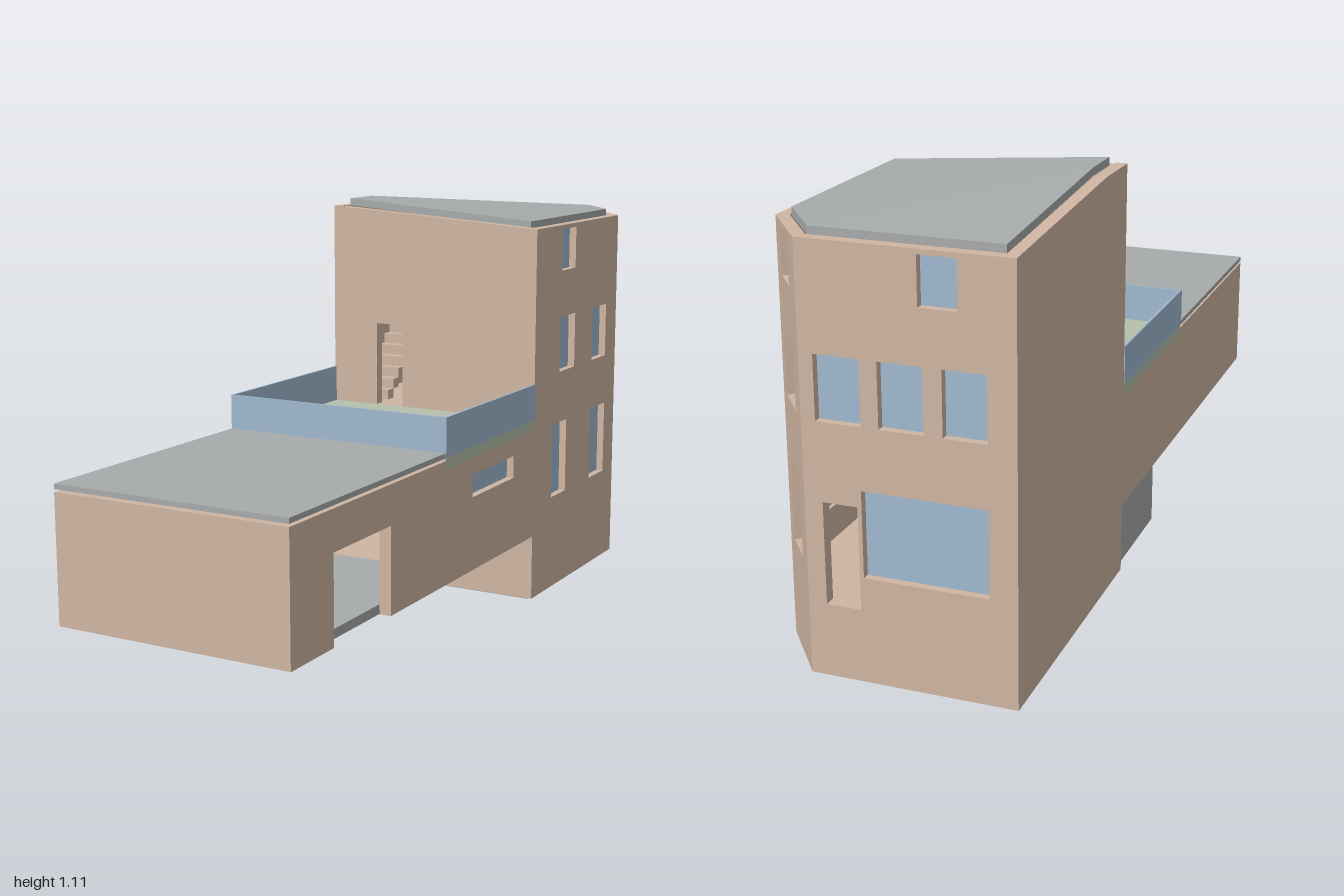
import * as THREE from 'three';

const mat = (name, color, side = THREE.FrontSide) => {
  const m = new THREE.MeshStandardMaterial({ color, side });
  m.name = name;
  return m;
};

export function createModel() {
  const root = new THREE.Group();
  root.name = 'house';
  const brick = mat('warm plaster', 0xcfb5a2);
  const grey = mat('grey concrete', 0xa7aaab);
  const green = mat('pale green deck', 0xb6c0aa);
  const glass = mat('blue glass', 0x9fb8cd, THREE.DoubleSide);
  const T = 0.03; // wall thickness
  const W = 0.317; // half width

  const add = (name, geo, material, parent = root) => {
    const m = new THREE.Mesh(geo, material);
    m.name = name;
    parent.add(m);
    return m;
  };
  // box given by its two extreme corners
  const box = (name, material, x0, x1, y0, y1, z0, z1) => {
    const m = add(name, new THREE.BoxGeometry(x1 - x0, y1 - y0, z1 - z0), material);
    m.position.set((x0 + x1) / 2, (y0 + y1) / 2, (z0 + z1) / 2);
    return m;
  };
  const shapeOf = pts => new THREE.Shape(pts.map(p => new THREE.Vector2(p[0], p[1])));
  const rect = (u0, u1, y0, y1) => [[u0, y0], [u1, y0], [u1, y1], [u0, y1]];

  // Wall from plan point a to b, outer face on the line; openings are [u0, u1, y0, y1, open?]
  const wall = (name, a, b, outline, openings = []) => {
    const g = new THREE.Group();
    g.name = name;
    g.position.set(a[0], 0, a[1]);
    g.rotation.y = Math.atan2(-(b[1] - a[1]), b[0] - a[0]);
    const s = shapeOf(outline);
    for (const [u0, u1, y0, y1, open] of openings) {
      s.holes.push(new THREE.Path(rect(u0, u1, y0, y1).map(p => new THREE.Vector2(p[0], p[1]))));
      if (open) continue;
      const pane = add('windowPane', new THREE.PlaneGeometry(u1 - u0, y1 - y0), glass, g);
      pane.position.set((u0 + u1) / 2, (y0 + y1) / 2, -0.02);
    }
    const geo = new THREE.ExtrudeGeometry(s, { depth: T, bevelEnabled: false });
    add(name + 'Panel', geo.translate(0, 0, -T), brick, g);
    root.add(g);
  };

  // Flat plate from a plan outline of [x, z] points
  const plate = (name, material, pts, y0, y1) => {
    const geo = new THREE.ExtrudeGeometry(shapeOf(pts.map(([x, z]) => [x, -z])), { depth: y1 - y0, bevelEnabled: false });
    geo.rotateX(-Math.PI / 2).translate(0, y0, 0);
    return add(name, geo, material);
  };

  // ---- Tower: four walls and a cut corner ----
  const Y0 = 0.01, LOW = 1.042, HIGH = 1.085;
  const cut = Math.hypot(W - 0.19, 0.16);
  const rows = [[0.275, 0.485], [0.63, 0.785], [0.915, 1.03]];
  wall('towerRightWall', [W, -0.25], [W, -0.84], rect(0, 0.59, Y0, LOW), [
    [0.125, 0.225, ...rows[0]], [0.405, 0.515, ...rows[0]],
    [0.17, 0.275, ...rows[1]], [0.405, 0.51, ...rows[1]],
    [0.175, 0.27, ...rows[2]]
  ]);
  wall('towerCornerWall', [W, -0.84], [0.19, -1], rect(0, cut, Y0, LOW), [
    [0.05, 0.147, ...rows[0]], [0.04, 0.147, ...rows[1]], [0.05, 0.135, ...rows[2]]
  ]);
  wall('towerBackWall', [0.19, -1], [-W, -1], rect(0, 0.19 + W, Y0, LOW), [
    [0.045, 0.13, 0.19, 0.44, true], [0.14, 0.44, 0.27, 0.48],
    [0.035, 0.145, ...rows[1]], [0.187, 0.293, ...rows[1]], [0.337, 0.44, ...rows[1]],
    [0.285, 0.375, ...rows[2]]
  ]);
  wall('towerLeftWall', [-W, -1], [-W, -0.25], [[0, Y0], [0.75, Y0], [0.75, HIGH], [0.59, HIGH], [0, LOW]]);
  wall('towerFrontWall', [-W, -0.25], [W, -0.25], [[0, Y0], [2 * W, Y0], [2 * W, LOW], [0, HIGH]], [
    [0.139, 0.222, 0.52, 0.755, true]
  ]);

  // plan outline of the tower, set in from the walls
  const inset = d => [
    [-W + d, -0.25 - d], [-W + d, -0.41], [-W + d, -1 + d],
    [0.19 - d * 0.5, -1 + d], [W - d, -0.84 + d * 0.35], [W - d, -0.25 - d]
  ];
  plate('towerBase', grey, inset(0.024), 0, 0.03);
  for (const y of [0.19, 0.52, 0.82]) plate('towerFloor', brick, inset(0.028), y - 0.02, y);

  // Roof slab, its front left side tilted up
  const roof = plate('towerRoof', grey, inset(0.034), 0, 1);
  const p = roof.geometry.attributes.position;
  for (let i = 0; i < p.count; i++) {
    const side = (0.283 - p.getX(i)) / 0.566;
    const back = Math.min(1, (p.getZ(i) + 0.966) / 0.556);
    p.setY(i, 1.04 + 0.045 * side * back + 0.02 * p.getY(i));
  }
  roof.geometry.computeVertexNormals();

  // Stair hall behind the terrace door
  box('hallPartition', brick, -0.08, -0.06, 0.52, 0.8, -0.97, -0.28);
  box('hallEndWall', green, -0.287, -0.08, 0.52, 0.8, -0.68, -0.66);
  for (let i = 0; i < 9; i++) {
    const y = 0.52 + 0.028 * (i + 1);
    box('stairStep', brick, -0.287, -0.185, y - 0.028, y, -0.36 - 0.032 * i, -0.328 - 0.032 * i);
  }

  // ---- Long raised wing ----
  const B = 0.19, TOP = 0.51, DECK = 0.49;
  wall('wingFrontWall', [-W, 1], [W, 1], rect(0, 2 * W, B, TOP));
  wall('wingRightWall', [W, 1], [W, -0.25], [
    [0, B], [0.18, B], [0.18, 0.41], [0.44, 0.41], [0.44, B],
    [1.25, B], [1.25, DECK], [0.72, DECK], [0.72, TOP], [0, TOP]
  ], [[0.87, 1.12, 0.385, 0.445]]);
  wall('wingLeftWall', [-W, -0.25], [-W, 1], [
    [0, B], [1.25, B], [1.25, TOP], [0.53, TOP], [0.53, DECK], [0, DECK]
  ]);
  box('wingFloor', grey, -W + T, W - T, B + 0.001, 0.215, 0.24, 1 - T);
  box('wingSoffit', brick, -W + T, W - T, B + 0.001, 0.215, -0.25, 0.24);
  box('wingRoof', grey, -W, W, 0.517, 0.53, 0.28, 1);

  // Terrace with glass parapet
  box('terraceDeck', green, -W, W, DECK, 0.52, -0.25, 0.28);
  box('parapetFront', glass, -W - 0.002, W + 0.002, 0.52, 0.62, 0.276, 0.282);
  for (const s of [-1, 1]) {
    const x = s * (W - 0.001);
    box('parapetSide', glass, x - 0.003, x + 0.003, 0.52, 0.62, -0.25, 0.278);
  }

  // Entrance porch under the wing: three thin walls, open below
  box('porchFront', grey, -0.305, -0.185, 0.013, B, 0.06, 0.075);
  box('porchLeftWall', grey, -0.2, -0.185, 0.013, B, -0.25, 0.06);
  box('porchRightWall', grey, -0.305, -0.29, 0.013, B, -0.25, 0.06);

  return root;
}
